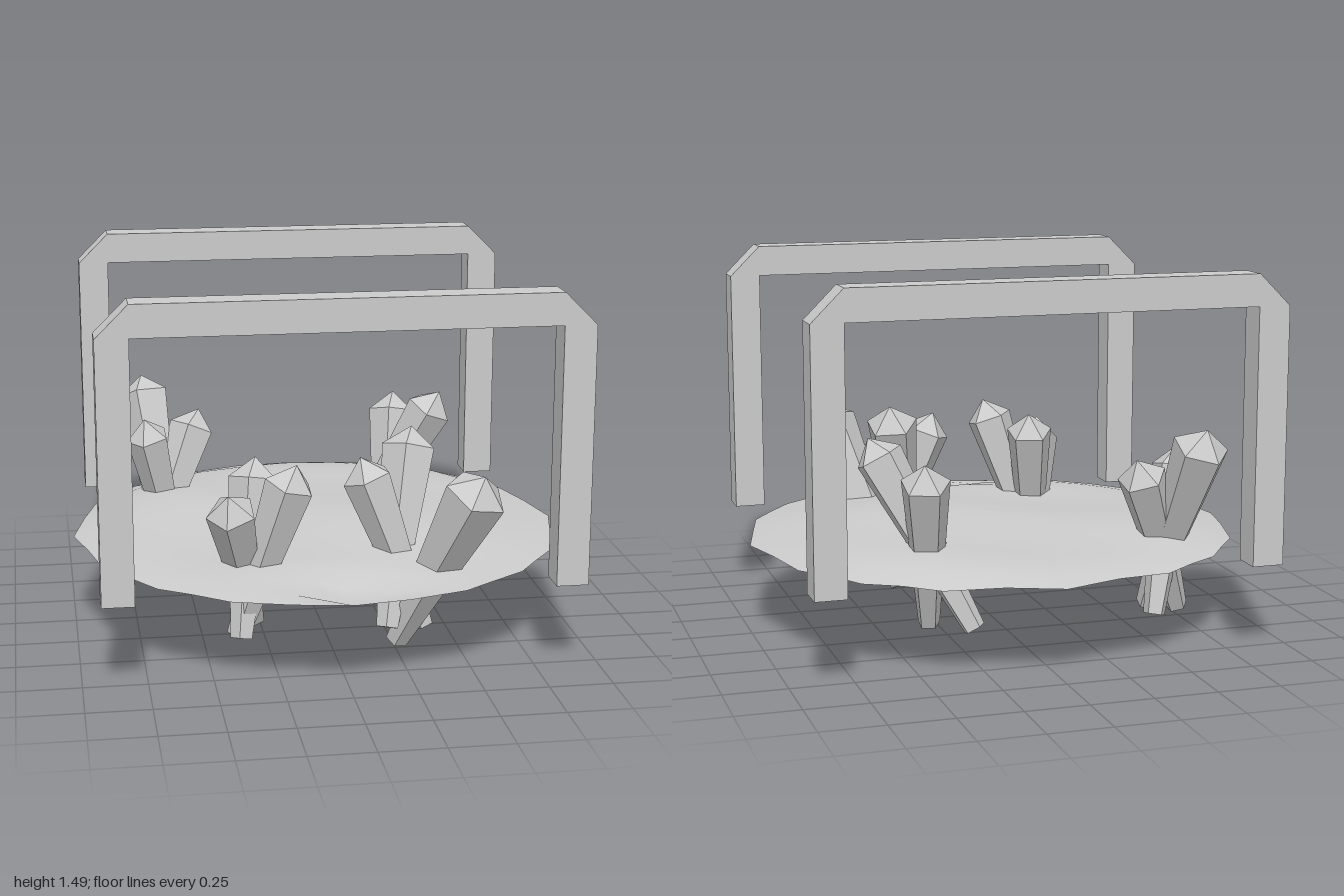
import * as THREE from 'three';

const grey = new THREE.MeshStandardMaterial({ color: 0xcccccc, flatShading: true });
const smooth = new THREE.MeshStandardMaterial({ color: 0xcccccc, side: THREE.DoubleSide });

// Tilted five-sided crystal, narrow at the base and pointed at the tip
function crystal(name, tip, base, radius) {
  const a = new THREE.Vector3(...base), b = new THREE.Vector3(...tip);
  const len = a.distanceTo(b), cap = 0.085;
  const g = new THREE.Group();
  g.name = name;
  const shaft = new THREE.Mesh(
    new THREE.CylinderGeometry(radius, 0.045, len - cap, 5, 1, false, Math.PI * 1.5), grey);
  shaft.name = 'crystalShaft';
  shaft.position.y = (len - cap) / 2;
  const point = new THREE.Mesh(
    new THREE.ConeGeometry(radius, cap, 5, 1, true, Math.PI * 1.5), grey);
  point.name = 'crystalPoint';
  point.position.y = len - cap / 2;
  g.add(shaft, point);
  g.position.copy(a);
  g.quaternion.setFromUnitVectors(new THREE.Vector3(0, 1, 0), b.sub(a).normalize());
  return g;
}

// Gently uneven plateau that falls off to the rim
function discHeight(x, z) {
  const r = Math.min(1, Math.hypot(x, z));
  const fall = 1 - r ** 4;
  const dip = -0.06 * Math.exp(-((x * x) / 0.05 + (z - 0.86) ** 2 / 0.012));
  const bumps = 0.014 * Math.sin(5 * x + 2 * z) + 0.012 * Math.cos(6 * z - 3 * x);
  return 0.373 + fall * (0.065 - 0.02 * z + bumps) + dip * (r < 0.99 ? 1 : 0);
}

function discGeometry() {
  // Rim: the edge points of a 4 x 4 square grid pushed out onto a circle
  const rim = [];
  for (let side = 0; side < 4; side++) {
    for (let i = 0; i < 4; i++) {
      const t = Math.atan2(-1 + i / 2, 1) + side * Math.PI / 2;
      rim.push(new THREE.Vector2(Math.cos(t), Math.sin(t)));
    }
  }
  const rings = 10, segs = 32, pos = [], idx = [];
  for (let j = 0; j <= rings; j++) {
    for (let i = 0; i < segs; i++) {
      const p = rim[i >> 1].clone().lerp(rim[((i >> 1) + 1) % 16], (i % 2) / 2);
      p.multiplyScalar(j / rings);
      pos.push(p.x, discHeight(p.x, p.y), p.y);
      if (j === rings) continue;
      const n = (i + 1) % segs, a = j * segs + i, b = j * segs + n;
      if (j > 0) idx.push(a, b, a + segs);
      idx.push(b, b + segs, a + segs);
    }
  }
  const g = new THREE.BufferGeometry();
  g.setAttribute('position', new THREE.Float32BufferAttribute(pos, 3));
  g.setIndex(idx);
  g.computeVertexNormals();
  return g;
}

export function createModel() {
  const model = new THREE.Group();

  // Round uneven platform
  const disc = new THREE.Mesh(discGeometry(), smooth);
  disc.name = 'platform';
  model.add(disc);

  // Two square-section arches with chamfered corners
  const outline = [
    [-0.925, 0.365], [-0.8, 0.365], [-0.8, 1.375], [0.8, 1.375], [0.8, 0.365],
    [0.925, 0.365], [0.925, 1.375], [0.8, 1.5], [-0.8, 1.5], [-0.925, 1.375],
  ].map(([x, y]) => new THREE.Vector2(x, y));
  const archGeo = new THREE.ExtrudeGeometry(new THREE.Shape(outline), { depth: 0.125, bevelEnabled: false });
  for (const [name, z] of [['frontArch', 0.75], ['backArch', -0.875]]) {
    const arch = new THREE.Mesh(archGeo, grey);
    arch.name = name;
    arch.position.z = z;
    model.add(arch);
  }

  // Crystal clusters: tip, base, widest radius
  const clusters = {
    backRightCrystals: [
      [[-0.67, 0.88, -0.71], [-0.57, 0.1, -0.35], 0.115],
      [[-0.43, 0.75, -0.58], [-0.69, 0.09, -0.38], 0.1],
      [[-0.68, 0.76, -0.38], [-0.54, 0.1, -0.51], 0.093],
    ],
    backLeftCrystals: [
      [[0.44, 0.79, -0.62], [0.36, 0.1, -0.37], 0.1],
      [[0.59, 0.85, -0.33], [0.22, 0.11, -0.53], 0.1],
    ],
    frontLeftCrystals: [
      [[0.35, 0.86, 0.27], [0.21, 0.11, 0.54], 0.11],
      [[0.11, 0.79, 0.46], [0.36, 0.1, 0.5], 0.1],
      [[0.53, 0.79, 0.81], [0.26, 0.03, 0.47], 0.125],
    ],
    frontRightCrystals: [
      [[-0.29, 0.78, 0.35], [-0.37, 0.1, 0.55], 0.1],
      [[-0.43, 0.71, 0.66], [-0.3, 0.11, 0.36], 0.1],
      [[-0.16, 0.81, 0.61], [-0.38, 0.1, 0.5], 0.1],
    ],
  };
  for (const [name, list] of Object.entries(clusters)) {
    const group = new THREE.Group();
    group.name = name;
    list.forEach(([tip, base, r], i) => group.add(crystal('crystal' + (i + 1), tip, base, r)));
    model.add(group);
  }
  return model;
}
